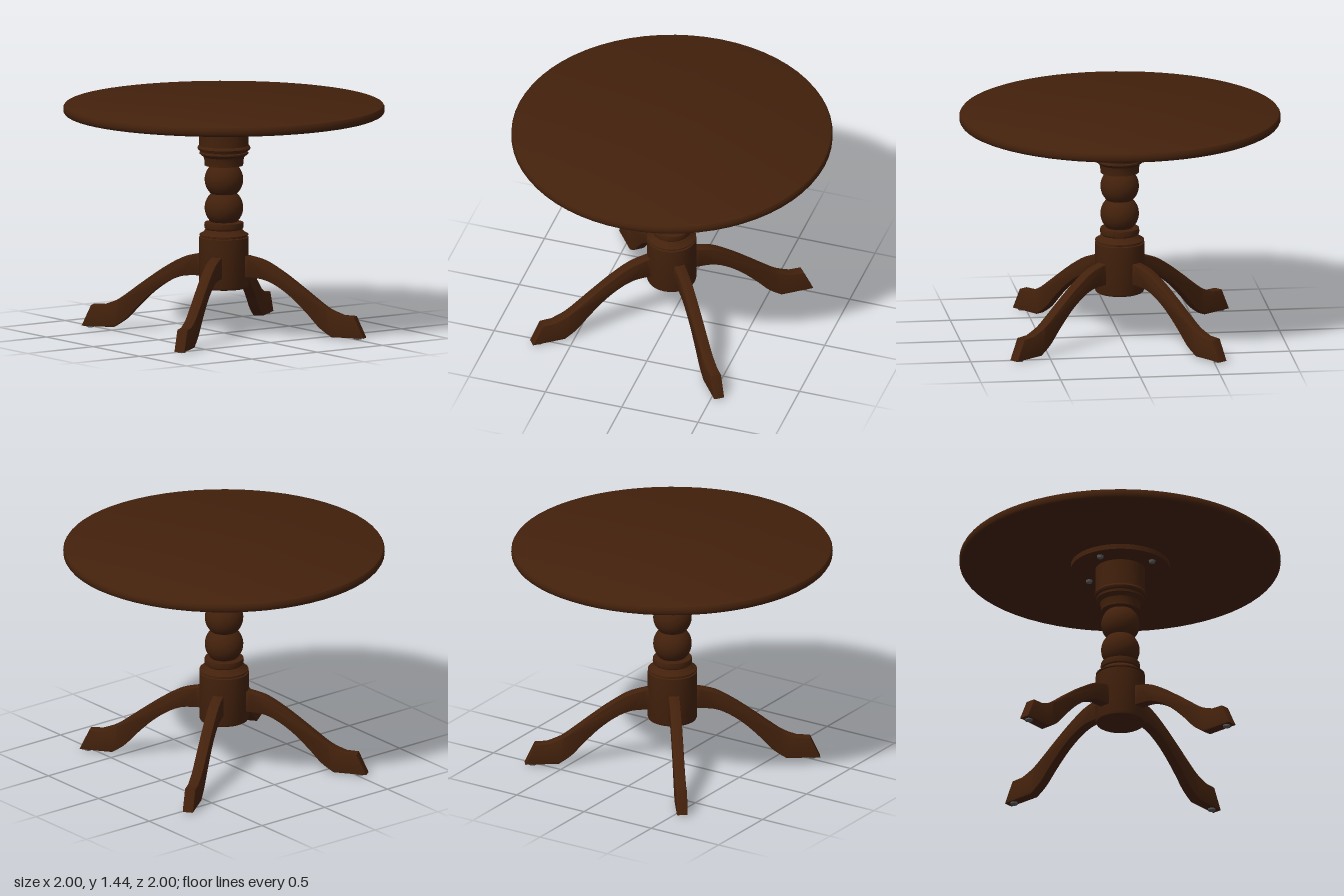
import * as THREE from 'three';
import { toCreasedNormals } from 'three/addons/utils/BufferGeometryUtils.js';

const LEG_ANGLE = THREE.MathUtils.degToRad(37);

const wood = new THREE.MeshStandardMaterial({ color: 0x43210c });
wood.name = 'brown wood';
const metal = new THREE.MeshStandardMaterial({ color: 0x5a5a5a });
metal.name = 'grey metal';

function mesh(name, geometry, material) {
  const m = new THREE.Mesh(geometry, material);
  m.name = name;
  return m;
}

// Turned wooden part from [radius, height] pairs, listed bottom to top
function turned(name, profile, segments) {
  const points = profile.map(([r, y]) => new THREE.Vector2(r, y));
  return mesh(name, toCreasedNormals(new THREE.LatheGeometry(points, segments), 0.6), wood);
}

// Arc of a bead cut off at a half height h
function bead(radius, cy, h, steps = 14) {
  const a = Math.asin(h / radius);
  return Array.from({ length: steps + 1 }, (_, i) => {
    const t = -a + (2 * a * i) / steps;
    return [radius * Math.cos(t), cy + radius * Math.sin(t)];
  });
}

// Side outline of a curved leg: x runs outward, y up
function legGeometry() {
  const halfWidth = 0.034, bevel = 0.006;
  const v = (list) => list.map(([x, y]) => new THREE.Vector2(x, y));
  const shape = new THREE.Shape();
  shape.moveTo(0.13, 0.36);
  shape.lineTo(0.16, 0.36);
  shape.splineThru(v([[0.26, 0.352], [0.35, 0.315], [0.45, 0.245], [0.55, 0.15], [0.63, 0.065], [0.71, 0.009]]));
  shape.lineTo(0.92, 0.009);
  shape.lineTo(0.858, 0.142);
  shape.lineTo(0.78, 0.145);
  shape.splineThru(v([[0.69, 0.182], [0.6, 0.245], [0.52, 0.305], [0.39, 0.397], [0.27, 0.465], [0.16, 0.494]]));
  shape.lineTo(0.13, 0.495);
  shape.closePath();
  const g = new THREE.ExtrudeGeometry(shape, {
    depth: 2 * (halfWidth - bevel), curveSegments: 24,
    bevelEnabled: true, bevelSize: bevel, bevelThickness: bevel, bevelOffset: -bevel, bevelSegments: 2,
  });
  g.translate(0, 0, -(halfWidth - bevel));
  return toCreasedNormals(g, 0.6);
}

export function createModel() {
  const table = new THREE.Group();
  table.name = 'pedestalTable';

  // Round top with a softened rim
  table.add(turned('tableTop', [
    [0, 1.378], [0.98, 1.378], [0.992, 1.384], [0.999, 1.395], [1, 1.41], [0.999, 1.424],
    [0.992, 1.435], [0.98, 1.44], [0, 1.44],
  ], 64));

  const base = new THREE.Group();
  base.name = 'base';
  base.position.set(-0.002, 0, 0.002);
  table.add(base);

  // Mounting plate under the top
  const plate = mesh('mountingPlate', new THREE.CylinderGeometry(0.308, 0.308, 0.035, 48), wood);
  plate.position.y = 1.3625;
  base.add(plate);

  // Turned column: hub, rings, two beads, cup and upper drum
  base.add(turned('column', [
    [0, 0.286], [0.138, 0.286], [0.149, 0.292], [0.154, 0.305], [0.154, 0.605],
    [0.142, 0.607], [0.142, 0.614], [0.152, 0.617], [0.152, 0.624], [0.13, 0.636], [0.118, 0.65],
    [0.112, 0.655], [0.12, 0.662], [0.123, 0.678], [0.12, 0.698], [0.085, 0.702],
    ...bead(0.12, 0.79, 0.088), ...bead(0.12, 0.967, 0.088),
    [0.12, 1.056], [0.121, 1.085], [0.127, 1.11], [0.142, 1.122], [0.152, 1.13], [0.152, 1.138],
    [0.144, 1.142], [0.146, 1.15], [0.16, 1.154], [0.166, 1.166], [0.16, 1.178], [0.154, 1.182],
    [0.154, 1.346],
  ], 40));

  // Four legs with thin foot pads
  const legShape = legGeometry();
  const padShape = new THREE.CylinderGeometry(0.024, 0.024, 0.01, 20);
  for (let i = 0; i < 4; i++) {
    const leg = new THREE.Group();
    leg.name = 'leg' + (i + 1);
    leg.rotation.y = LEG_ANGLE + (i * Math.PI) / 2;
    leg.add(mesh('legBody', legShape, wood));
    const pad = mesh('footPad', padShape, metal);
    pad.position.set(0.872, 0.005, 0);
    leg.add(pad);
    base.add(leg);
  }

  // Bolts holding the plate to the top
  const boltShape = new THREE.CylinderGeometry(0.022, 0.018, 0.016, 16);
  [[0.2, -0.155], [0.17, 0.165], [-0.17, 0.165], [-0.17, -0.165]].forEach(([x, z], i) => {
    const bolt = mesh('plateBolt' + (i + 1), boltShape, metal);
    bolt.position.set(x, 1.338, z);
    base.add(bolt);
  });
  return table;
}
